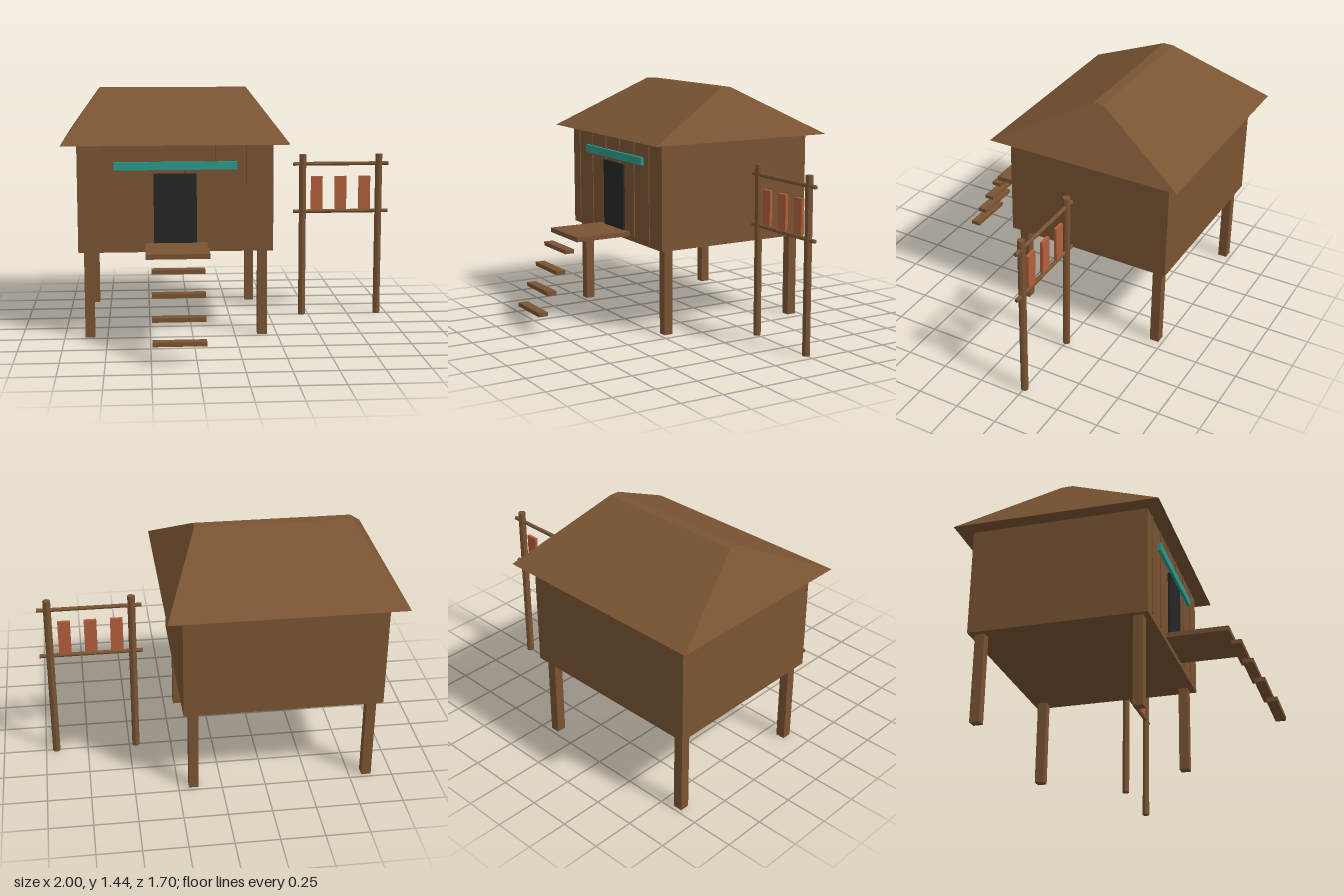
import * as THREE from 'three';

const mat = (name, color) => {
  const m = new THREE.MeshStandardMaterial({ color });
  m.name = name;
  return m;
};

export function createModel() {
  const model = new THREE.Group();
  model.name = 'stiltHut';
  const wood = mat('brown wood', 0x7a5433);
  const black = mat('door black', 0x262626);
  const teal = mat('teal paint', 0x2a9d8f);
  const rust = mat('rust cloth', 0xb35f3b);

  const add = (name, geometry, material, parent = model) => {
    const mesh = new THREE.Mesh(geometry, material);
    mesh.name = name;
    parent.add(mesh);
    return mesh;
  };
  // Box given by its extents on each axis
  const box = (name, [x0, x1], [y0, y1], [z0, z1], material, parent) => {
    const mesh = add(name, new THREE.BoxGeometry(x1 - x0, y1 - y0, z1 - z0), material, parent);
    mesh.position.set((x0 + x1) / 2, (y0 + y1) / 2, (z0 + z1) / 2);
    return mesh;
  };
  const group = (name) => {
    const g = new THREE.Group();
    g.name = name;
    model.add(g);
    return g;
  };

  const cx = -0.345, cz = -0.252; // middle of the hut

  // Cabin and stilts
  box('cabinWalls', [-0.911, 0.221], [0.512, 1.14], [-0.76, 0.257], wood);
  const stilts = group('stilts');
  for (const sx of [-1, 1]) for (const sz of [-1, 1]) {
    const x = cx + sx * 0.507, z = cz + sz * 0.447;
    box('stilt', [x - 0.028, x + 0.028], [0, 0.515], [z - 0.028, z + 0.028], wood, stilts);
  }

  // Hipped roof: a box whose top corners are drawn in to a narrow ridge
  const roofGeo = new THREE.BoxGeometry(1.31, 0.296, 1.186).toNonIndexed();
  const p = roofGeo.attributes.position;
  for (let i = 0; i < p.count; i++) {
    if (p.getY(i) > 0) {
      p.setX(i, Math.sign(p.getX(i)) * 0.447);
      p.setZ(i, Math.sign(p.getZ(i)) * 0.031);
    }
  }
  roofGeo.computeVertexNormals();
  add('roof', roofGeo, wood).position.set(cx, 1.288, cz);

  // Battens, door and painted lintel on the front wall
  const battens = group('wallBattens');
  for (let i = 0; i < 6; i++) {
    const x = -0.823 + i * 0.179;
    box('batten', [x - 0.007, x + 0.007], [0.54, 1.14], [0.25, 0.263], wood, battens);
  }
  box('door', [-0.473, -0.225], [0.56, 0.97], [0.25, 0.27], black);
  box('lintel', [-0.7, 0.01], [0.993, 1.039], [0.255, 0.276], teal);

  // Porch and floating steps
  box('porch', [-0.524, -0.166], [0.538, 0.566], [0.25, 0.612], wood);
  const steps = group('steps');
  for (let i = 0; i < 4; i++) {
    const y = 0.479 - i * 0.12, z = 0.645 + i * 0.0595;
    box('step', [-0.493, -0.198], [y - 0.012, y + 0.012], [z - 0.029, z + 0.029], wood, steps);
  }

  // Drying rack beside the hut
  const rack = group('dryingRack');
  const postGeo = new THREE.CylinderGeometry(0.022, 0.022, 1.017, 8).toNonIndexed();
  const railGeo = new THREE.CylinderGeometry(0.012, 0.012, 0.597, 8).toNonIndexed();
  postGeo.computeVertexNormals();
  railGeo.computeVertexNormals();
  for (const x of [0.46, 0.938]) add('rackPost', postGeo, wood, rack).position.set(x, 0.5085, cz);
  for (const y of [0.958, 0.659]) {
    const rail = add('rackRail', railGeo, wood, rack);
    rail.position.set(0.7, y, cz);
    rail.rotation.z = Math.PI / 2;
  }
  for (const x of [0.549, 0.699, 0.849]) {
    box('hangingPanel', [x - 0.036, x + 0.036], [0.672, 0.879], [cz - 0.009, cz + 0.009], rust, rack);
  }
  return model;
}
